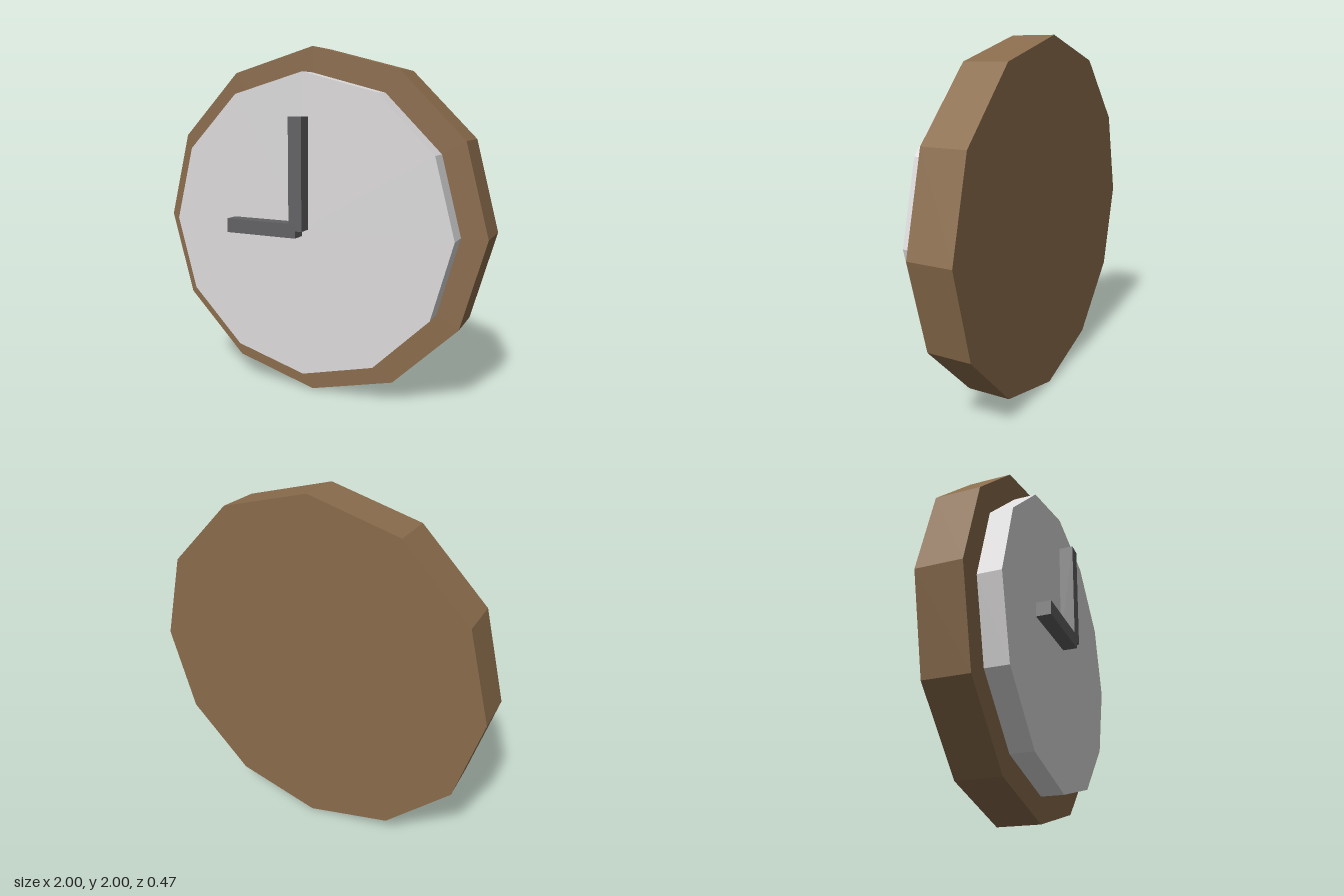
import * as THREE from 'three';

export function createModel() {
  const clock = new THREE.Group();
  clock.name = 'wallClock';

  const material = (name, color) => {
    const m = new THREE.MeshStandardMaterial({ color, flatShading: true });
    m.name = name;
    return m;
  };
  const wood = material('brown wood', 0x8a6c4c);
  const white = material('pale dial', 0xdcdada);
  const dark = material('dark grey', 0x626264);

  const add = (name, geometry, mat, x, y, z) => {
    const mesh = new THREE.Mesh(geometry, mat);
    mesh.name = name;
    mesh.position.set(x, y, z);
    clock.add(mesh);
  };

  // Twelve-sided disc facing +z, spanning z0 to z1
  const disc = (name, radius, z0, z1, mat) => {
    const geometry = new THREE.CylinderGeometry(radius, radius, z1 - z0, 12);
    geometry.rotateX(Math.PI / 2);
    add(name, geometry, mat, 0, 1, (z0 + z1) / 2);
  };
  disc('case', 1, -0.233, 0.014, wood);
  disc('dial', 0.858, 0.014, 0.142, white);

  // Hands float just in front of the dial
  add('minuteHand', new THREE.BoxGeometry(0.08, 0.62, 0.082), dark, 0, 1.31, 0.192);
  add('hourHand', new THREE.BoxGeometry(0.44, 0.08, 0.082), dark, -0.22, 1, 0.192);

  return clock;
}
